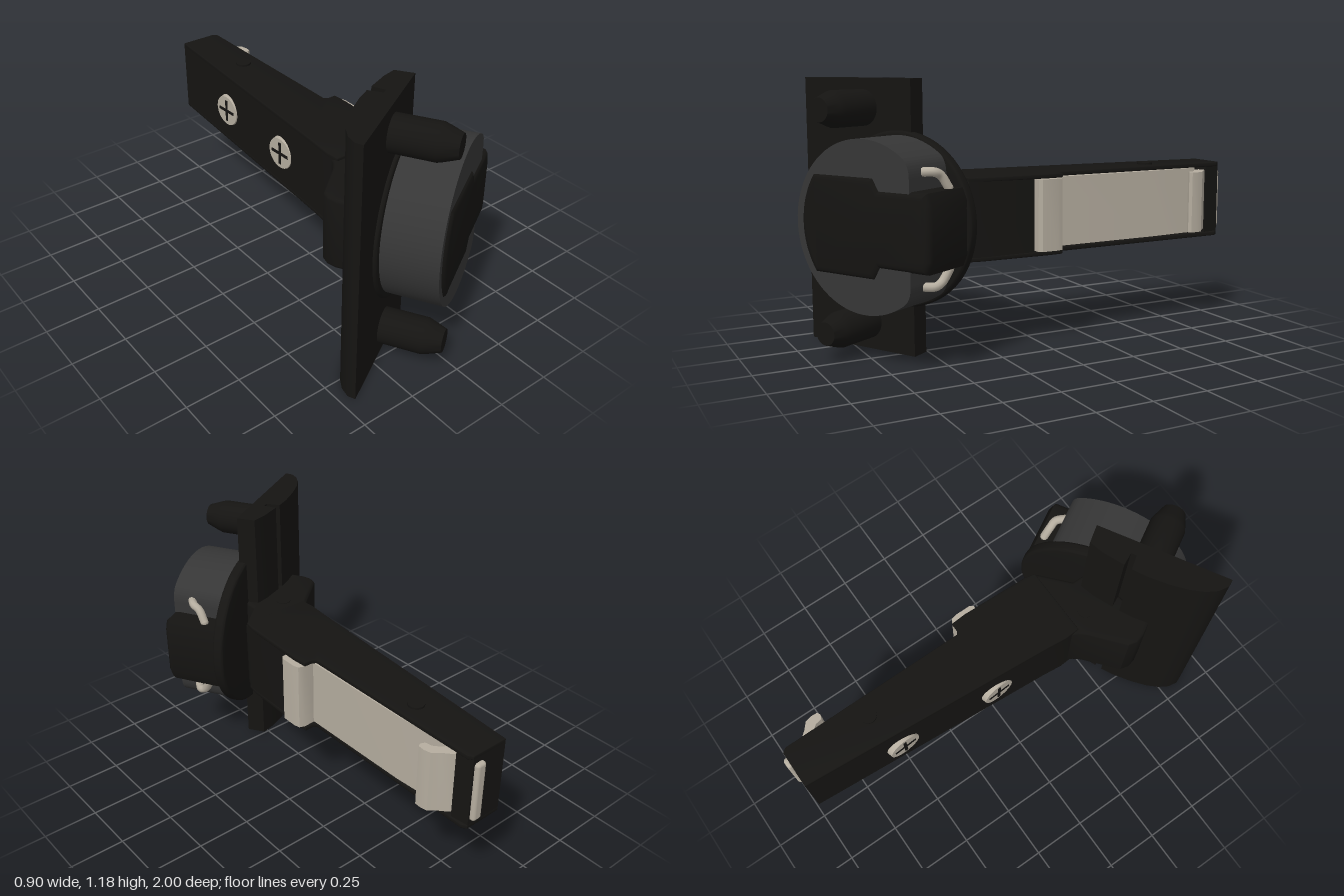
import * as THREE from 'three';
import { toCreasedNormals } from 'three/addons/utils/BufferGeometryUtils.js';
import { RoundedBoxGeometry } from 'three/addons/geometries/RoundedBoxGeometry.js';

const black = new THREE.MeshStandardMaterial({ color: 0x151412 });
const grey = new THREE.MeshStandardMaterial({ color: 0x363636 });
const metal = new THREE.MeshStandardMaterial({ color: 0xb5ad9f });
const MID = 0.59; // height of the hinge's plane of symmetry

function add(parent, name, geometry, material, x = 0, y = 0, z = 0) {
  const mesh = new THREE.Mesh(geometry, material);
  mesh.name = name;
  mesh.position.set(x, y, z);
  parent.add(mesh);
  return mesh;
}

function extrude(shape, depth, bevel = 0) {
  const g = new THREE.ExtrudeGeometry(shape, {
    depth: depth - 2 * bevel, curveSegments: 32, bevelEnabled: bevel > 0,
    bevelSize: bevel, bevelThickness: bevel, bevelOffset: -bevel, bevelSegments: 3,
  });
  g.translate(0, 0, bevel);
  return toCreasedNormals(g, 0.6);
}

// Plan outline of [x, z] points, raised from y0 to y1
function plan(points, y0, y1, bevel = 0) {
  const shape = new THREE.Shape(points.map(([x, z]) => new THREE.Vector2(x, -z)));
  return extrude(shape, y1 - y0, bevel).rotateX(-Math.PI / 2).translate(0, y0, 0);
}

// Cup, mounting plate and dowels; local z is the cup axis
function buildCup() {
  const cup = new THREE.Group();
  cup.name = 'cupAssembly';
  cup.rotation.y = Math.PI / 6;
  const cx = -0.28;

  // Mounting plate with a rounded back, split by a groove
  add(cup, 'mountingPlate', plan([
    [-0.82, 0.535], [-0.815, 0.5], [-0.785, 0.465], [-0.74, 0.44], [-0.68, 0.422], [-0.6, 0.41],
    [-0.5, 0.405], [-0.435, 0.41], [-0.43, 0.475], [-0.405, 0.475], [-0.4, 0.415],
    [-0.3, 0.43], [-0.235, 0.45], [-0.23, 0.535],
  ], 0, 1.18), black);

  // Round flange behind the cup
  add(cup, 'cupFlange', extrude(new THREE.Shape().absarc(-0.295, MID, 0.375, 0, Math.PI * 2), 0.05, 0.012),
    black, 0, 0, 0.5);

  // Round cup wall, cut flat on the outer side
  const r = 0.357, cut = Math.acos((-0.045 - cx) / r);
  const wall = new THREE.Shape();
  wall.absarc(cx, MID, r, cut + 0.12, Math.PI * 2 - cut - 0.12);
  wall.quadraticCurveTo(-0.04, MID - 0.27, -0.04, MID - 0.21);
  wall.lineTo(-0.04, MID + 0.21);
  wall.quadraticCurveTo(-0.04, MID + 0.27, cx + r * Math.cos(cut + 0.12), MID + r * Math.sin(cut + 0.12));
  add(cup, 'cupWall', extrude(wall, 0.25), grey, 0, 0, 0.54);

  // Central housing across the cup: round inner end, narrower outer end
  const house = new THREE.Shape();
  const a = Math.asin(0.21 / 0.35);
  house.absarc(cx + 0.02, MID, 0.35, Math.PI - a, Math.PI + a);
  for (const [x, y] of [[-0.22, -0.21], [-0.19, -0.16], [0.04, -0.16], [0.06, -0.11],
    [0.06, 0.11], [0.04, 0.16], [-0.19, 0.16], [-0.22, 0.21]]) house.lineTo(x, MID + y);
  house.closePath();
  add(cup, 'cupHousing', extrude(house, 0.28, 0.03), black, 0, 0, 0.522);

  // Tapered dowels above and below the cup
  const profile = [[0, 0], [0.078, 0], [0.078, 0.19], [0.07, 0.215], [0.05, 0.27], [0, 0.27]];
  for (const y of [0.125, 1.055]) {
    const dowel = toCreasedNormals(new THREE.LatheGeometry(profile.map((p) => new THREE.Vector2(...p)), 32), 0.6);
    add(cup, 'dowel', dowel.rotateX(Math.PI / 2), black, -0.49, y, 0.53);
  }

  // Bent spring pins at the outer side
  for (const s of [-1, 1]) {
    const path = new THREE.CatmullRomCurve3([
      new THREE.Vector3(-0.05, MID + s * 0.23, 0.7), new THREE.Vector3(-0.01, MID + s * 0.23, 0.67),
      new THREE.Vector3(0.0, MID + s * 0.215, 0.64), new THREE.Vector3(0.015, MID + s * 0.165, 0.61),
    ]);
    add(cup, 'springPin', new THREE.TubeGeometry(path, 16, 0.019, 10), metal);
    const tip = path.getPoint(1);
    add(cup, 'springPinEnd', new THREE.SphereGeometry(0.019, 10, 8), metal, tip.x, tip.y, tip.z);
  }
  return cup;
}

// Cross-slotted screw head whose axis points to -x
function buildScrew(x, z) {
  const screw = new THREE.Group();
  screw.name = 'screw';
  screw.position.set(x, MID, z);
  screw.rotation.set(0, 0.06, 0);
  add(screw, 'screwHead', new THREE.CylinderGeometry(0.074, 0.08, 0.025, 32).rotateZ(Math.PI / 2), metal);
  for (const [h, d] of [[0.11, 0.015], [0.015, 0.11]]) {
    add(screw, 'screwSlot', new THREE.BoxGeometry(0.006, h, d), black, -0.012);
  }
  return screw;
}

function buildArm() {
  const arm = new THREE.Group();
  arm.name = 'armAssembly';
  const back = [[-0.14, 0.37], [-0.145, 0.3], [-0.135, 0.2], [-0.05, -0.98]];
  const outline = [...back, [0.125, -0.98], [0.14, -0.96], [0.145, -0.08], [0.16, -0.07], [0.2, -0.07],
    [0.205, 0], [0.195, 0.32], [0.185, 0.37]];
  const core = [...back, [0.125, -0.98], [0.135, -0.9], [0.09, -0.88], [0.1, 0.06], [0.2, 0.07],
    [0.195, 0.32], [0.185, 0.37]];

  // Channel: recessed core between two cheeks
  add(arm, 'armCore', plan(core, 0.43, 0.755), black);
  for (const y of [0.412, 0.75]) add(arm, 'armCheek', plan(outline, y, y + 0.02, 0.004), black);

  // Elbow leading towards the cup
  add(arm, 'elbow', plan([
    [0.187, 0.36], [0.18, 0.385], [0.06, 0.49], [0.06, 0.58], [-0.04, 0.605], [-0.29, 0.65], [-0.325, 0.59],
    [-0.335, 0.55], [-0.325, 0.51], [-0.18, 0.39], [-0.155, 0.36], [-0.14, 0.33], [0.19, 0.33],
  ], 0.425, 0.757, 0.015), black);

  // Link between elbow and cup
  add(arm, 'link', plan([[0.02, 0.5], [0.1, 0.58], [-0.1, 0.72], [-0.25, 0.62]], 0.47, 0.71), black);

  // Metal insert in the open side of the channel
  add(arm, 'insertPlate', plan([[0.08, -0.84], [0.125, -0.84], [0.142, -0.6], [0.148, -0.06], [0.09, -0.05]],
    0.437, 0.747), metal);
  add(arm, 'insertStep', plan([[0.13, -0.06], [0.2, -0.065], [0.225, -0.055], [0.232, -0.03], [0.232, 0.045],
    [0.22, 0.06], [0.13, 0.07]], 0.435, 0.75), metal);

  // Curled release catch near the rear
  add(arm, 'catch', plan([[0.1, -0.91], [0.14, -0.89], [0.17, -0.855], [0.2, -0.83], [0.207, -0.8],
    [0.205, -0.77], [0.19, -0.762], [0.17, -0.77], [0.165, -0.8], [0.14, -0.83], [0.1, -0.85]], 0.45, 0.735), metal);
  add(arm, 'rearTab', new RoundedBoxGeometry(0.05, 0.28, 0.05, 3, 0.015), metal, 0.092, MID, -0.975);

  // Pivot pins through the cheeks
  add(arm, 'armPivot', new THREE.CylinderGeometry(0.036, 0.036, 0.378, 24), black, 0.055, MID, -0.6);
  add(arm, 'elbowPivot', new THREE.CylinderGeometry(0.034, 0.034, 0.34, 24), black, -0.085, MID, 0.45);

  arm.add(buildScrew(-0.118, -0.05), buildScrew(-0.086, -0.53));
  return arm;
}

export function createModel() {
  const model = new THREE.Group();
  model.name = 'cabinetHinge';
  model.add(buildCup(), buildArm());
  return model;
}
